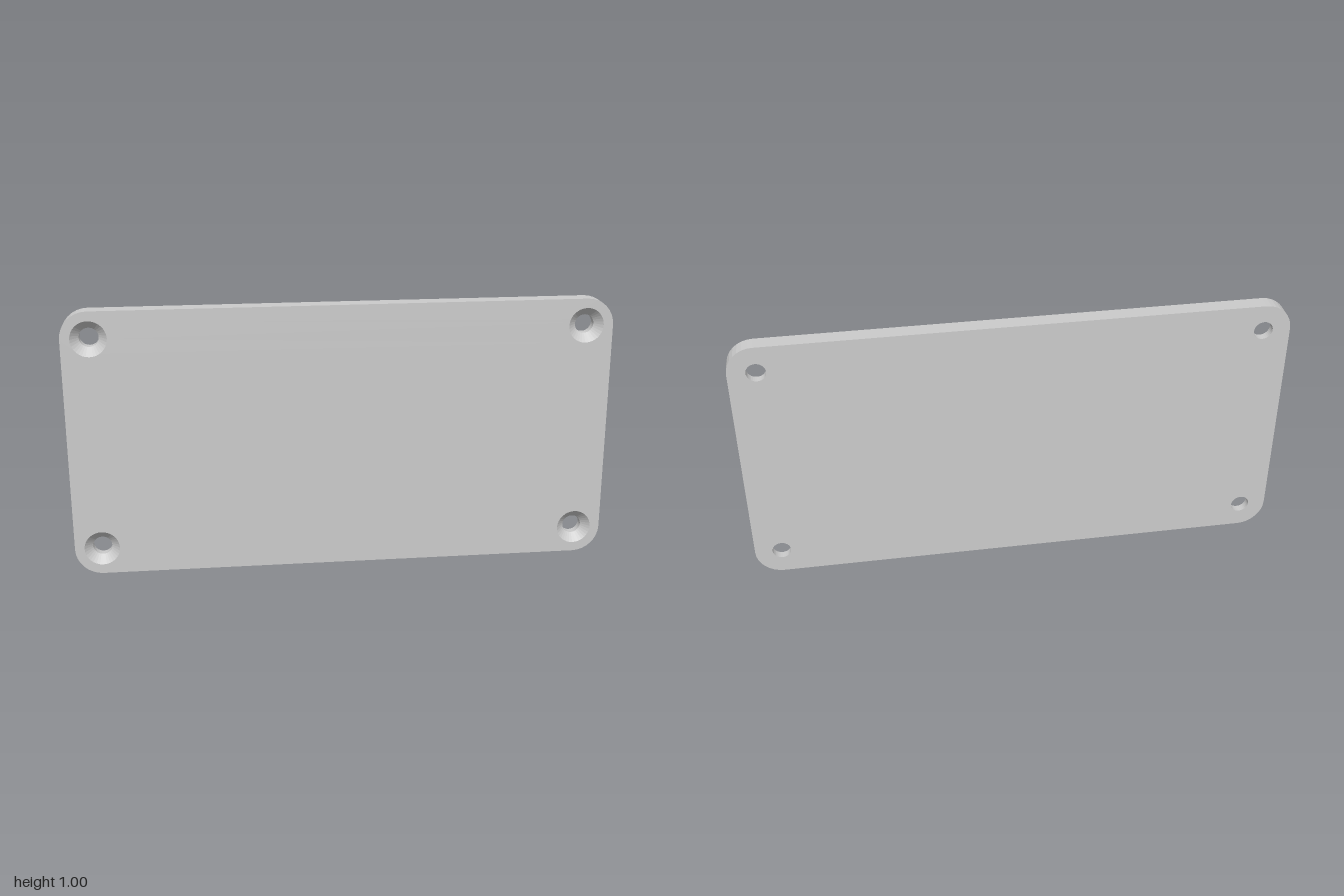
import * as THREE from 'three';

const HALF = 0.03;                 // half the plate thickness
const CORNER = 0.1;                // corner radius
const BORE = 0.035, SINK = 0.065;  // screw hole and countersink radii
const STEP = 8;                    // segments per quarter turn
const CENTRES = [[0.9, 0.9], [-0.9, 0.9], [-0.9, 0.1], [0.9, 0.1]];

const arc = (cx, cy, r, first, count) => Array.from({ length: count }, (_, i) => {
  const a = (first + i / STEP) * Math.PI / 2;
  return new THREE.Vector2(cx + r * Math.cos(a), cy + r * Math.sin(a));
});

// Rounded outline, counter-clockwise
const outline = () => CENTRES.flatMap(([x, y], q) => arc(x, y, CORNER, q, STEP + 1));

// Flat face with four round holes
function faceGeometry(holeRadius) {
  const shape = new THREE.Shape(outline());
  for (const [x, y] of CENTRES) shape.holes.push(new THREE.Path(arc(x, y, holeRadius, 0, STEP * 4)));
  return new THREE.ShapeGeometry(shape);
}

// Outer edge wall between back and front
function rimGeometry() {
  const loop = outline(), positions = [], index = [];
  loop.forEach((p, i) => {
    positions.push(p.x, p.y, -HALF, p.x, p.y, HALF);
    const a = i * 2, b = ((i + 1) % loop.length) * 2;
    index.push(a, b, b + 1, a, b + 1, a + 1);
  });
  const geometry = new THREE.BufferGeometry();
  geometry.setAttribute('position', new THREE.Float32BufferAttribute(positions, 3));
  geometry.setIndex(index);
  geometry.computeVertexNormals();
  return geometry;
}

export function createModel() {
  const group = new THREE.Group();
  group.name = 'mountingPlate';
  const material = new THREE.MeshStandardMaterial({ color: 0xcccccc, flatShading: true });
  const add = (name, geometry) => {
    const mesh = new THREE.Mesh(geometry, material);
    mesh.name = name;
    group.add(mesh);
    return mesh;
  };

  // Plate body
  add('frontFace', faceGeometry(SINK)).position.z = HALF;
  const back = add('backFace', faceGeometry(BORE));
  back.rotation.y = Math.PI;
  back.position.z = -HALF;
  add('rim', rimGeometry());

  // Countersunk screw holes: cone from the front, then a straight bore
  const profile = [[SINK, HALF], [BORE, 0], [BORE, -HALF]].map(([r, y]) => new THREE.Vector2(r, y));
  const hole = new THREE.LatheGeometry(profile, STEP * 4).rotateX(Math.PI / 2);
  for (const [x, y] of CENTRES) add('screwHole', hole).position.set(x, y, 0);

  return group;
}
